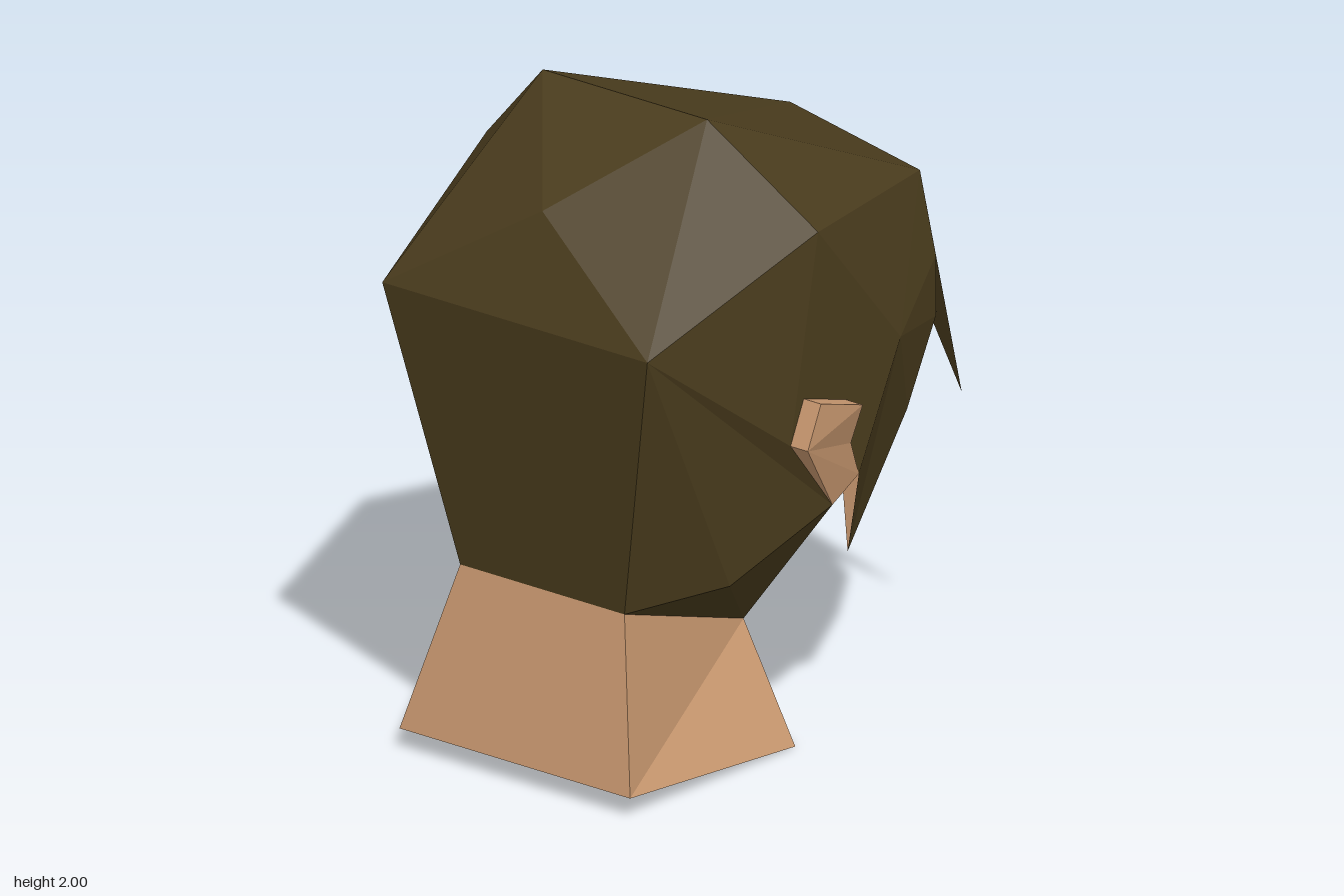
import * as THREE from 'three';

// Corner points of the +x half; a lower-case name means the mirrored corner.
const P = {
  // hair shell
  A: [0.31, 2, 0.25], B: [0.625, 1.69, 0.125], C: [0, 1.75, 0.625], D: [0.5, 1.44, 0.75],
  E: [0.31, 0.57, 0.625], F: [0.5, 0.63, 0.375], G: [0.625, 0.82, 0.06], H: [0.44, 1.63, -0.56],
  I: [0.625, 0.88, -0.06], J: [0.375, 0.5, -0.31], K: [0.5, 0.94, -0.43], L: [0.5, 1.19, -0.56],
  M: [0.5, 1.38, -0.56], N: [0.19, 0.32, -0.06], Q: [0.625, 1.06, 0.25], R: [0.625, 1.25, -0.25],
  T: [0, 1.75, -0.5],
  // fringe: centre crease, centre notch, side notch, short tip
  U: [0, 1.63, -0.56], V: [0, 1.5, -0.63], W: [0.19, 1.44, -0.69], X: [0.125, 1.13, -0.75],
  // nose top, tip and wing
  O: [0, 1.28, -0.56], Y: [0, 0.88, -0.75], Z: [0.125, 0.82, -0.56],
};

function corner(name) {
  const up = name.toUpperCase();
  const [x, y, z] = P[up];
  return new THREE.Vector3(name === up ? x : -x, y, z);
}

const swapCase = (s) => [...s].map((c) => (c === c.toUpperCase() ? c.toLowerCase() : c.toUpperCase())).join('');
const poly = (s) => [...s].map(corner);
const bothSides = (list) => list.flatMap((s) => [poly(s), poly(swapCase(s))]);
const vec = (list, side = 1) => list.map(([x, y, z]) => new THREE.Vector3(x * side, y, z));

// Flat faceted mesh; every triangle is turned to look away from the given centre.
function facets(name, polys, color, centre = [0, 1.1, 0.1]) {
  const mid = new THREE.Vector3(...centre);
  const pos = [];
  for (const p of polys) {
    for (let i = 1; i < p.length - 1; i++) {
      let [a, b, c] = [p[0], p[i], p[i + 1]];
      const n = b.clone().sub(a).cross(c.clone().sub(a));
      const out = a.clone().add(b).add(c).divideScalar(3).sub(mid);
      if (n.dot(out) < 0) [b, c] = [c, b];
      for (const v of [a, b, c]) pos.push(v.x, v.y, v.z);
    }
  }
  const geo = new THREE.BufferGeometry();
  geo.setAttribute('position', new THREE.Float32BufferAttribute(pos, 3));
  geo.computeVertexNormals();
  const mat = new THREE.MeshStandardMaterial({ color, flatShading: true, side: THREE.DoubleSide });
  const mesh = new THREE.Mesh(geo, mat);
  mesh.name = name;
  return mesh;
}

export function createModel() {
  const HAIR = 0x4a3c1d, SKIN = 0xc6966e, BLACK = 0x0a0a0a;
  const group = new THREE.Group();
  group.name = 'head';

  // Hair shell: crown, back, sides, sideburns and nape
  group.add(facets('hair', [
    ...bothSides(['ACD', 'ADB', 'DBQ', 'DQG', 'DGF', 'DFE', 'EFN', 'FGN', 'BQGIR',
      'RIJ', 'RJK', 'RKL', 'RLM', 'RMH', 'RHB', 'BHA', 'AHT']),
    poly('AaC'), poly('AaT'), poly('DdC'), poly('DdeE'),
  ], HAIR));

  // Fringe with two short centre strands and two uneven long side strands
  const strand = (side, tip) => {
    const [h, w, m] = poly(side > 0 ? 'HWM' : 'hwm');
    const t = new THREE.Vector3(...tip);
    return [[h, w, t], [h, t, m]];
  };
  group.add(facets('fringe', [
    ...bothSides(['THW', 'TWU', 'UWX', 'UXV']),
    ...strand(1, [0.44, 0.88, -0.75]),
    ...strand(-1, [-0.5, 0.82, -0.75]),
  ], HAIR));

  // Face: brow and cheek panels, open below
  group.add(facets('face', [...bothSides(['OMLZ', 'LZJ', 'LJK']), poly('OMm')], SKIN));
  group.add(facets('nose', [...bothSides(['OYZ']), poly('YZz')], SKIN, [0, 0.95, -0.5]));

  // Neck, open at the bottom
  const foot = (x) => [new THREE.Vector3(x, 0.065, 0.75), new THREE.Vector3(x, 0, 0)];
  const [bl, fl] = foot(0.435), [br, fr] = foot(-0.435);
  const [E, e, N, n] = poly('EeNn');
  group.add(facets('neck', [
    [E, e, br, bl], [bl, E, N], [bl, N, fl], [br, e, n], [br, n, fr], [N, n, fr, fl],
  ], SKIN, [0, 0.25, 0.3]));

  for (const side of [1, -1]) {
    const tag = side > 0 ? 'left' : 'right';

    // Eye: thin dark patch just in front of the face
    group.add(facets(tag + 'Eye', [vec([
      [0.09, 1.22, -0.566], [0.25, 1.27, -0.566], [0.5, 1.2, -0.566], [0.42, 1.17, -0.566], [0.15, 1.18, -0.566],
    ], side)], BLACK));

    // Ear: raised plate tapering into the jaw
    const outer = vec([[0.69, 1.06, 0.25], [0.69, 1.19, 0.19], [0.69, 1.13, 0], [0.645, 1, 0]], side);
    const root = vec([[0.625, 1.06, 0.25], [0.625, 1.19, 0.19], [0.625, 1.13, 0], [0.625, 1, 0]], side);
    const [a, b, c, d] = outer;
    const [g, i] = poly(side > 0 ? 'GI' : 'gi');
    group.add(facets(tag + 'Ear', [
      [a, b, c], [a, c, d], [a, d, i, g], [root[0], a, g], [d, root[3], i],
      ...[0, 1, 2].map((k) => [outer[k], outer[k + 1], root[k + 1], root[k]]),
    ], SKIN, [side * 0.62, 1.05, 0.1]));
  }
  return group;
}
